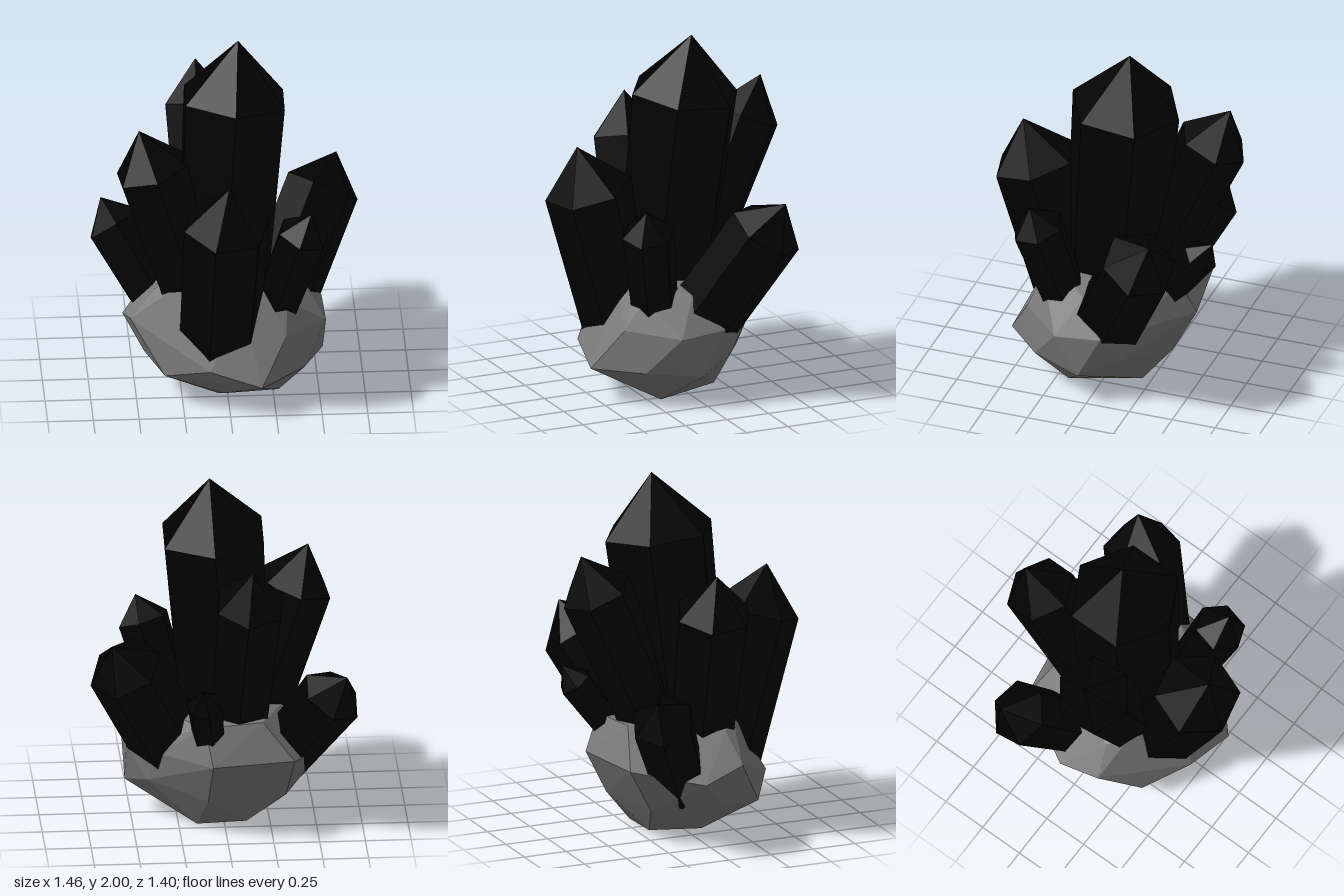
import * as THREE from 'three';
import { ConvexGeometry } from 'three/addons/geometries/ConvexGeometry.js';

const crystalMaterial = new THREE.MeshStandardMaterial({ color: 0x010101, flatShading: true });
const rockMaterial = new THREE.MeshStandardMaterial({ color: 0x7a7a7a, flatShading: true });

// Six-sided crystal from base to tip; shoulder is the fraction where the point begins.
function crystal({ name, base, tip, radius, shoulder, taper, turn }) {
  const from = new THREE.Vector3(...base);
  const axis = new THREE.Vector3(...tip).sub(from);
  const length = axis.length();
  const geometry = new THREE.CylinderGeometry(1, 1, 2, 6, 2);
  const p = geometry.attributes.position;
  for (let i = 0; i < p.count; i++) {
    const row = Math.round(p.getY(i)); // -1 base, 0 shoulder, 1 tip
    const r = row > 0 ? 0 : row < 0 ? radius * taper : radius;
    const y = row > 0 ? length : row < 0 ? 0 : length * shoulder;
    p.setXYZ(i, p.getX(i) * r, y, p.getZ(i) * r);
  }
  geometry.rotateY(turn);
  const flat = geometry.toNonIndexed();
  flat.computeVertexNormals();
  const mesh = new THREE.Mesh(flat, crystalMaterial);
  mesh.name = name;
  mesh.position.copy(from);
  mesh.quaternion.setFromUnitVectors(new THREE.Vector3(0, 1, 0), axis.normalize());
  return mesh;
}

export function createModel() {
  const model = new THREE.Group();
  model.name = 'crystalCluster';

  // Faceted rock, as rings of corners from bottom to top
  const corners = [
    [[-0.26, 0.04, 0.05], [-0.05, 0.01, 0.22], [-0.03, 0.08, 0.36], [0.28, 0.005, 0.18],
      [0.15, 0.01, -0.2], [-0.12, 0.02, -0.2]],
    [[0.17, 0.2, 0.55], [0.41, 0.21, 0.33], [0.53, 0.19, 0.04], [0.42, 0.27, -0.18], [0.1, 0.2, -0.36],
      [-0.33, 0.2, -0.28], [-0.45, 0.22, 0.1], [-0.35, 0.19, 0.35], [-0.11, 0.28, 0.5]],
    [[0.31, 0.44, 0.41], [0.54, 0.42, 0.17], [0.53, 0.44, -0.09], [0.37, 0.45, -0.25], [0.08, 0.45, -0.49],
      [-0.37, 0.45, -0.42], [-0.56, 0.38, -0.05], [-0.53, 0.46, 0.18]],
    [[0.21, 0.67, 0.29], [0.41, 0.62, 0.05], [0.32, 0.6, 0.3], [0.12, 0.65, -0.4], [-0.2, 0.66, -0.36],
      [-0.39, 0.62, 0.14], [-0.27, 0.68, 0.23], [0.08, 0.62, 0.35]],
  ];
  const rock = new THREE.Mesh(
    new ConvexGeometry(corners.flat().map(c => new THREE.Vector3(...c))), rockMaterial);
  rock.name = 'rockBase';
  model.add(rock);

  // Crystals leaning outward around the tall one
  [
    { name: 'mainCrystal', base: [-0.04, 0.25, 0.06], tip: [0.075, 2, -0.1], radius: 0.313, shoulder: 0.81, taper: 0.85, turn: -0.03 },
    { name: 'frontCrystal', base: [-0.05, 0.25, 0.22], tip: [-0.01, 1.42, 0.55], radius: 0.243, shoulder: 0.785, taper: 0.93, turn: -0.3 },
    { name: 'backCrystal', base: [-0.07, 0.3, -0.02], tip: [-0.13, 1.64, -0.61], radius: 0.2, shoulder: 0.84, taper: 0.82, turn: -0.1 },
    { name: 'rightCrystal', base: [-0.11, 0.35, 0.1], tip: [-0.475, 1.54, 0.05], radius: 0.215, shoulder: 0.805, taper: 0.88, turn: 0.1 },
    { name: 'lowRightCrystal', base: [-0.28, 0.3, -0.08], tip: [-0.66, 0.92, -0.385], radius: 0.18, shoulder: 0.79, taper: 0.85, turn: 0.1 },
    { name: 'leftCrystal', base: [0.24, 0.32, 0], tip: [0.63, 1.15, -0.41], radius: 0.21, shoulder: 0.8, taper: 1, turn: 0.64 },
    { name: 'smallFrontCrystal', base: [0.24, 0.45, 0.19], tip: [0.45, 1.15, 0.345], radius: 0.147, shoulder: 0.81, taper: 0.87, turn: -0.18 },
    { name: 'smallBackCrystal', base: [0.08, 0.45, -0.25], tip: [0.145, 0.94, -0.605], radius: 0.1, shoulder: 0.79, taper: 0.85, turn: 0.2 },
  ].forEach(spec => model.add(crystal(spec)));

  return model;
}
